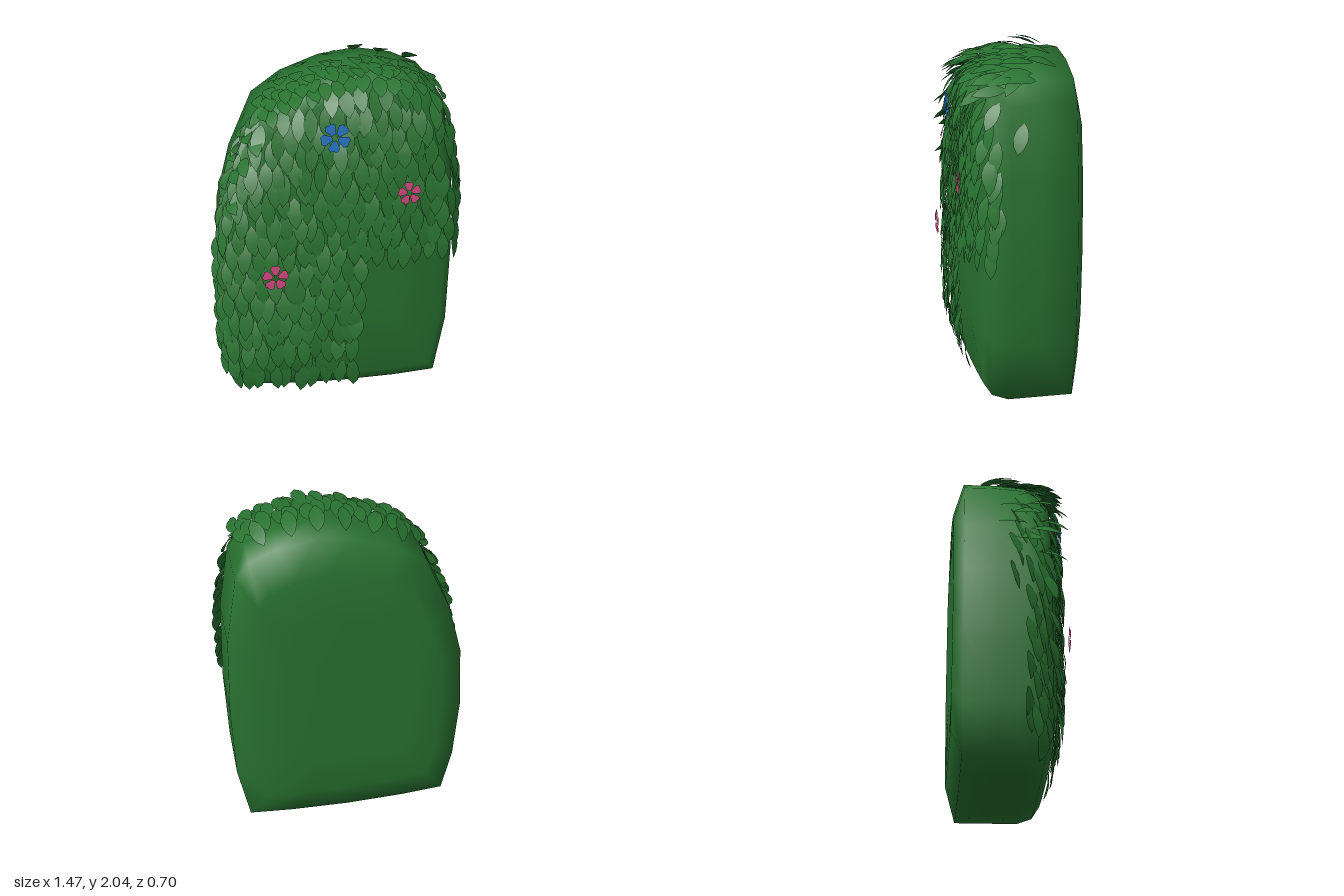
import * as THREE from 'three';
import { mergeGeometries } from 'three/addons/utils/BufferGeometryUtils.js';

// Small seeded generator for leaf variation
function seeded(seed) {
  return () => {
    seed = (seed * 16807) % 2147483647;
    return seed / 2147483647;
  };
}

// Hedge outline in xy, counter-clockwise from the bottom centre
const OUTLINE = [
  [0, 0], [0.35, 0.01], [0.6, 0.03], [0.67, 0.38], [0.69, 0.85], [0.68, 1.35], [0.62, 1.76],
  [0.54, 1.87], [0.38, 1.94], [0.17, 1.975], [-0.05, 1.945], [-0.28, 1.86], [-0.45, 1.74],
  [-0.59, 1.42], [-0.67, 1.1], [-0.69, 0.7], [-0.66, 0.3], [-0.6, 0.03], [-0.35, 0.01],
];
// Cross-sections back to front: depth, scale of the upper half, scale of width and lower half
const RINGS = [
  [-0.35, 0.5, 0.5], [-0.345, 0.8, 0.8], [-0.285, 1, 1], [-0.1, 1, 1],
  [0.08, 0.98, 1], [0.17, 0.94, 0.97], [0.215, 0.85, 0.9], [0.25, 0.55, 0.55],
];
const MID_Y = 0.95;

function bodyGeometry() {
  const pos = [], index = [], n = OUTLINE.length;
  for (const [z, top, s] of RINGS)
    for (const [x, y] of OUTLINE)
      pos.push(x * s, MID_Y + (y - MID_Y) * (y > MID_Y ? top : s), z < -0.2 ? z - 0.015 * x : z);
  const back = RINGS.length * n, front = back + 1, last = (RINGS.length - 1) * n;
  pos.push(0, MID_Y, -0.35, 0, MID_Y, 0.265);
  for (let j = 0; j < n; j++) {
    const k = (j + 1) % n;
    for (let i = 0; i < RINGS.length - 1; i++) {
      const a = i * n + j, b = i * n + k;
      index.push(a, b, b + n, a, b + n, a + n);
    }
    index.push(back, k, j, front, last + j, last + k);
  }
  const geo = new THREE.BufferGeometry();
  geo.setAttribute('position', new THREE.Float32BufferAttribute(pos, 3));
  geo.setIndex(index);
  geo.computeVertexNormals();
  return geo;
}

// Pointed leaf hanging from the origin, bowed outward along its length
function leafGeometry(length, width) {
  const shape = new THREE.Shape();
  shape.moveTo(0, 0);
  shape.bezierCurveTo(-width * 0.55, -length * 0.2, -width * 0.75, -length * 0.65, 0, -length);
  shape.bezierCurveTo(width * 0.75, -length * 0.65, width * 0.55, -length * 0.2, 0, 0);
  const geo = new THREE.ShapeGeometry(shape, 5);
  const p = geo.attributes.position;
  for (let i = 0; i < p.count; i++) {
    const t = -p.getY(i) / length;
    p.setZ(i, 0.018 * Math.sin(Math.PI * t) - 1.5 * p.getX(i) ** 2);
  }
  geo.computeVertexNormals();
  return geo;
}

// Five broad wedge petals around an open centre
function flowerGeometry(radius) {
  const petals = [];
  for (let i = 0; i < 5; i++) {
    const s = new THREE.Shape();
    s.moveTo(-0.14 * radius, 0.22 * radius);
    s.lineTo(0.14 * radius, 0.22 * radius);
    s.lineTo(0.4 * radius, 0.76 * radius);
    s.lineTo(0.24 * radius, 1.0 * radius);
    s.lineTo(0, 0.95 * radius);
    s.lineTo(-0.24 * radius, 1.0 * radius);
    s.lineTo(-0.4 * radius, 0.76 * radius);
    petals.push(new THREE.ShapeGeometry(s).rotateZ((i / 5) * Math.PI * 2));
  }
  return mergeGeometries(petals);
}

export function createModel() {
  const model = new THREE.Group();
  model.name = 'floweringHedge';
  const material = (name, color) => {
    const m = new THREE.MeshStandardMaterial({ color, side: THREE.DoubleSide });
    m.name = name;
    return m;
  };
  const green = material('foliageGreen', 0x297331);
  const pink = material('petalPink', 0xdc4a86);
  const blue = material('petalBlue', 0x2a7bd0);

  const body = new THREE.Mesh(bodyGeometry(), green);
  body.name = 'hedgeBody';
  model.add(body);

  // Find a point on the hedge by casting a ray from outside
  const caster = new THREE.Raycaster();
  const findSurface = (origin, direction) => {
    caster.set(new THREE.Vector3(...origin), new THREE.Vector3(...direction));
    const hit = caster.intersectObject(body)[0];
    return hit && { point: hit.point, normal: hit.normal.clone().normalize() };
  };

  // Lay a leaf on the surface, its tip along the flow, lifted and turned toward a facing
  const rand = seeded(71);
  const jitter = (a) => (rand() - 0.5) * 2 * a;
  const addLeaf = (list, origin, direction, { flow, facing, lift }) => {
    const hit = findSurface(origin, direction);
    if (!hit) return;
    const n = hit.normal.add(facing).normalize();
    const up = flow.clone().addScaledVector(n, -flow.dot(n)).normalize().negate();
    const side = new THREE.Vector3().crossVectors(up, n);
    const frame = new THREE.Matrix4().makeBasis(side, up, n);
    frame.setPosition(hit.point.addScaledVector(n, 0.006));
    const geo = leafGeometry(0.185 + jitter(0.02), 0.086 + jitter(0.008));
    geo.rotateX(-lift + jitter(0.07)).rotateY(jitter(0.2)).rotateZ(jitter(0.15));
    list.push(geo.applyMatrix4(frame));
  };
  const addLeaves = (name, list) => {
    const mesh = new THREE.Mesh(mergeGeometries(list), green);
    mesh.name = name;
    model.add(mesh);
  };
  const vec = (x, y, z) => new THREE.Vector3(x, y, z);
  const hanging = { flow: vec(0, -1, 0.2), facing: vec(0, 0, 0.3), lift: 0.19 };
  const lowHanging = { ...hanging, lift: 0.04 };
  const combed = { flow: vec(0, -0.3, 1), facing: vec(0, 0.5, 0), lift: 0.05 };
  const leftEdge = { flow: vec(0, -1, 0), facing: vec(0, 0, 0.9), lift: 0.15 };
  const rightEdge = { flow: vec(0, -1, 0), facing: vec(0, 0, 0.6), lift: 0.15 };

  // Front leaves, leaving the lower left corner bare
  const front = [];
  for (let row = 0; row < 18; row++) {
    const y = 1.87 - row * 0.098;
    for (let col = 0; col < 18; col++) {
      const x = -0.66 + (col + (row % 2) * 0.5) * 0.076;
      if (y < 0.97 && x > 0.14 - (0.97 - y) * 0.07) continue;
      const style = y < 0.32 ? lowHanging : hanging;
      addLeaf(front, [x + jitter(0.012), y + jitter(0.02), 2], [0, 0, -1], style);
    }
  }
  addLeaves('frontLeaves', front);

  // Leaves combed forward over the crown
  const crown = [];
  [-0.2, -0.09, 0.01, 0.08, 0.14].forEach((z, row) => {
    for (let col = 0; col < 16; col++) {
      const x = -0.62 + (col + (row % 2) * 0.5) * 0.076;
      if (x > 0.58 || (row === 0 && (x < -0.45 || x > 0.45 || col % 2))) continue;
      addLeaf(crown, [x + jitter(0.012), 3, z + jitter(0.02)], [0, -1, 0], combed);
    }
  });
  addLeaves('crownLeaves', crown);

  // Side leaves wrap around the front corners
  const sides = [];
  for (let row = 0; row < 15; row++) {
    const y = 1.66 - row * 0.1;
    const shift = (row % 2) * 0.03;
    addLeaf(sides, [-2, y, 0.16 - shift], [1, 0, 0], leftEdge);
    addLeaf(sides, [-2, y + 0.04, 0.1 - shift], [1, 0, 0], leftEdge);
    if (y > 1.1) addLeaf(sides, [-2, y, 0.01 - shift], [1, 0, 0], leftEdge);
    if (y > 0.96) addLeaf(sides, [2, y, 0.165 - shift], [-1, 0, 0], rightEdge);
  }
  addLeaves('sideLeaves', sides);

  // Flowers in front of the leaves
  const flowers = [
    ['blueFlower', -0.045, 1.62, 0.086, blue, 0.5],
    ['upperPinkFlower', 0.38, 1.27, 0.068, pink, 0.1],
    ['lowerPinkFlower', -0.395, 0.8, 0.076, pink, 0],
  ];
  for (const [name, x, y, radius, mat, turn] of flowers) {
    const hit = findSurface([x, y, 2], [0, 0, -1]);
    const flower = new THREE.Mesh(flowerGeometry(radius), mat);
    flower.name = name;
    flower.position.set(x, y, hit.point.z + 0.078);
    flower.rotation.z = turn;
    model.add(flower);
  }
  return model;
}
